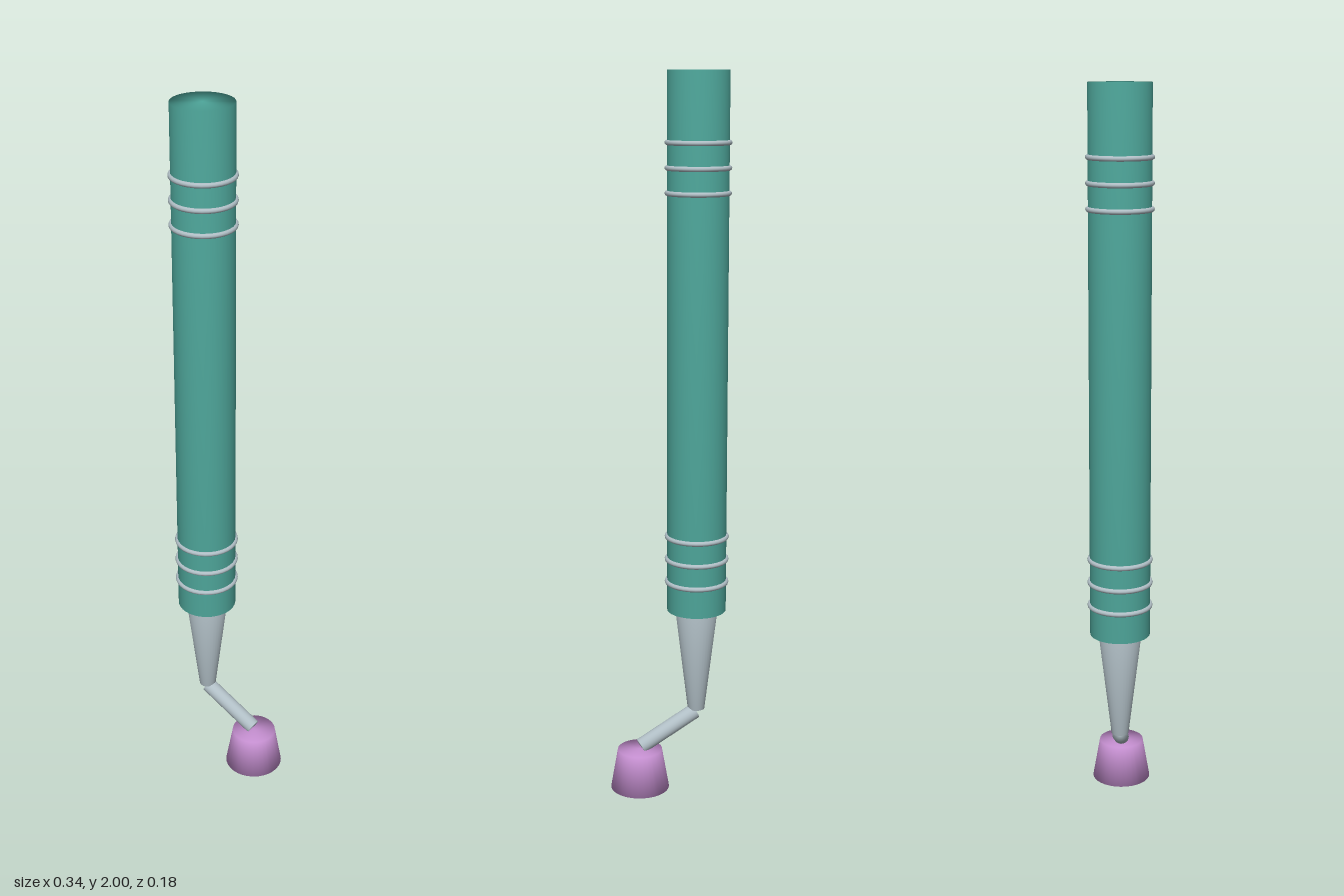
import * as THREE from 'three';

const TEAL = 0x4fa89c, STEEL = 0xb0bec5, PINK = 0xc58fd0;
const HANDLE_X = -0.084, CUP_X = 0.087;

// Solid of revolution with softly blended ends, from radius r0 at the base to r1 at the top
function taper(name, r0, r1, height, color, segments = 32) {
  const profile = [[0, 0], [r0, 0], [r1, height], [0, height]].map(([x, y]) => new THREE.Vector2(x, y));
  const mesh = new THREE.Mesh(
    new THREE.LatheGeometry(profile, segments),
    new THREE.MeshStandardMaterial({ color })
  );
  mesh.name = name;
  return mesh;
}

export function createModel() {
  const model = new THREE.Group();
  model.name = 'angledTool';

  // Long grip
  const handle = taper('handle', 0.083, 0.083, 1.485, TEAL);
  handle.position.set(HANDLE_X, 0.515, 0);
  model.add(handle);

  // Two sets of three grip rings
  const rings = new THREE.Group();
  rings.name = 'gripRings';
  const ringGeometry = new THREE.TorusGeometry(0.083, 0.007, 10, 32).rotateX(Math.PI / 2);
  const ringMaterial = new THREE.MeshStandardMaterial({ color: STEEL });
  for (const base of [0.6, 1.682]) {
    for (let i = 0; i < 3; i++) {
      const ring = new THREE.Mesh(ringGeometry, ringMaterial);
      ring.name = 'gripRing';
      ring.position.set(HANDLE_X, base + i * 0.066, 0);
      rings.add(ring);
    }
  }
  model.add(rings);

  // Tapered neck below the grip
  const neck = taper('neck', 0.024, 0.06, 0.3, STEEL);
  neck.position.set(HANDLE_X, 0.215, 0);
  model.add(neck);

  // Bent arm from the neck to the cup
  const start = new THREE.Vector3(-0.081, 0.207, 0);
  const end = new THREE.Vector3(0.084, 0.122, 0);
  const direction = end.clone().sub(start);
  const arm = taper('arm', 0.022, 0.022, direction.length(), STEEL, 24);
  arm.position.copy(start);
  arm.quaternion.setFromUnitVectors(new THREE.Vector3(0, 1, 0), direction.normalize());
  model.add(arm);

  // Flared cup tip
  const cup = taper('cup', 0.083, 0.063, 0.115, PINK);
  cup.position.set(CUP_X, 0, 0);
  model.add(cup);

  return model;
}
